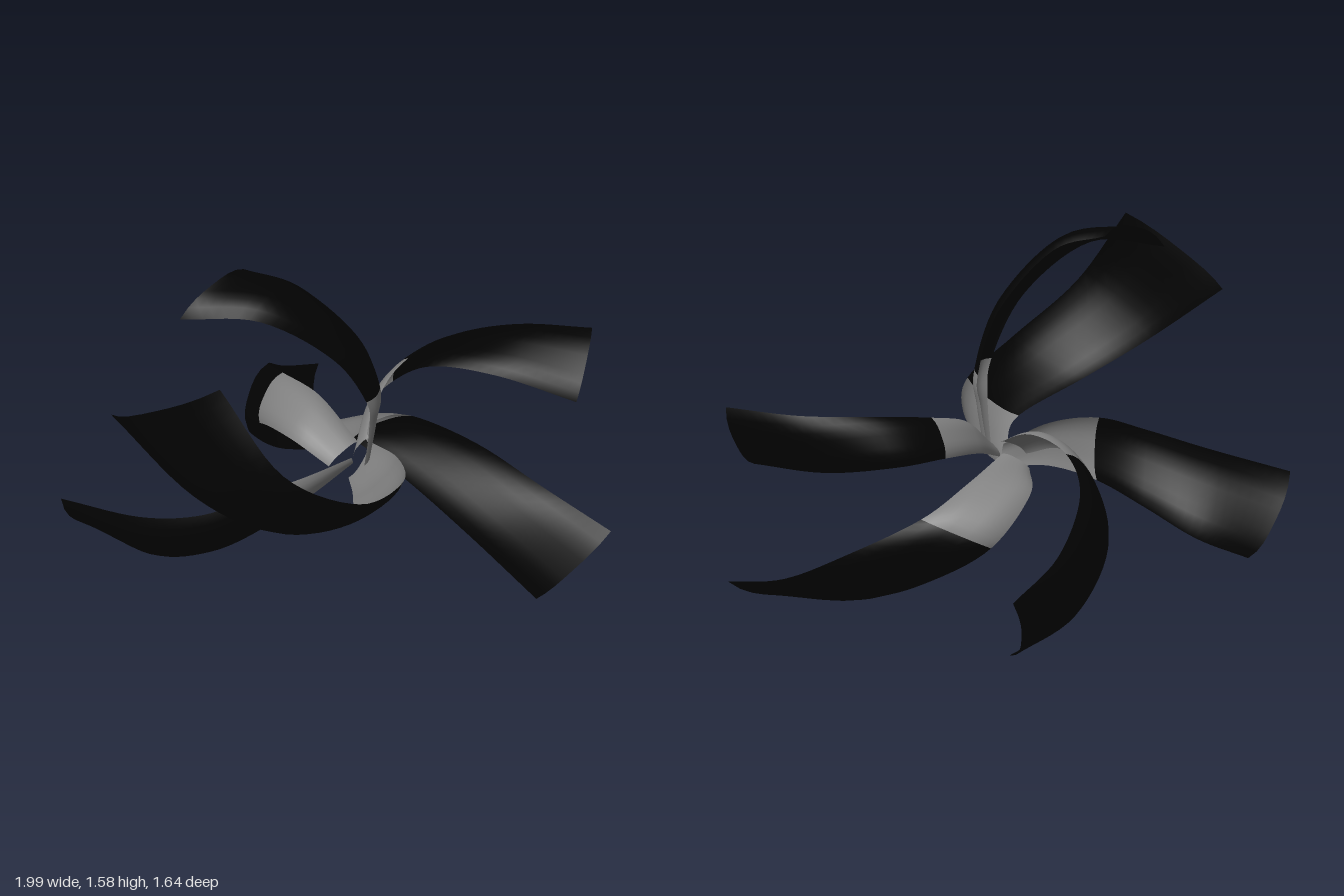
import * as THREE from 'three';
import { ParametricGeometry } from 'three/addons/geometries/ParametricGeometry.js';

const rootGrey = new THREE.MeshStandardMaterial({ color: 0x828282, side: THREE.DoubleSide });
rootGrey.name = 'rootGrey';
const bladeBlack = new THREE.MeshStandardMaterial({ color: 0x020202, side: THREE.DoubleSide });
bladeBlack.name = 'bladeBlack';

const SLICES = 8;
const ROWS_PER_SPAN = 7;

// Smooth curve through flat x, y, z triples
function edge(values) {
  const points = [];
  for (let i = 0; i < values.length; i += 3) points.push(new THREE.Vector3().fromArray(values, i));
  return new THREE.CatmullRomCurve3(points, false, 'catmullrom', 0.5);
}

// Ribbon stretched between two edges, bowed outwards across its width.
// The first two spans form the grey root, the rest the black blade.
function makeBlade(name, bow, first, second) {
  const a = edge(first);
  const b = edge(second);
  const rows = (a.points.length - 1) * ROWS_PER_SPAN;
  const surface = (u, v, target) => {
    const pa = a.getPoint(v);
    const across = b.getPoint(v).sub(pa);
    const along = a.getTangent(v).add(b.getTangent(v));
    const out = along.cross(across).normalize();
    const arch = 1 - Math.abs(2 * u - 1) ** 3;
    target.copy(pa).addScaledVector(across, u);
    target.addScaledVector(out, bow * across.length() * arch);
  };
  const geometry = new ParametricGeometry(surface, SLICES, rows);
  const rootCount = 2 * ROWS_PER_SPAN * SLICES * 6;
  geometry.addGroup(0, rootCount, 0);
  geometry.addGroup(rootCount, geometry.index.count - rootCount, 1);
  const mesh = new THREE.Mesh(geometry, [rootGrey, bladeBlack]);
  mesh.name = name;
  return mesh;
}

export function createModel() {
  const model = new THREE.Group();
  model.name = 'twistedBlades';
  model.add(
    makeBlade('frontRightBlade', 0.1,
      [0.07, 0.69, 0.05, -0.04, 0.78, 0.27, -0.24, 0.87, 0.44, -0.57, 1.0, 0.48, -0.83, 1.23, 0.34, -0.89, 1.545, 0.115],
      [-0.07, 0.59, 0.05, -0.2, 0.63, 0.17, -0.4, 0.7, 0.29, -0.73, 0.83, 0.2, -0.91, 1.01, -0.02, -0.955, 1.257, -0.365]),
    makeBlade('upperBlade', 0.18,
      [0.06, 0.7, 0.04, 0.085, 0.86, 0.05, 0.085, 0.985, 0.065, 0.005, 1.24, 0.025, -0.14, 1.48, -0.13, -0.25, 1.545, -0.31],
      [-0.03, 0.65, 0.1, -0.04, 0.86, 0.13, -0.08, 1.02, 0.145, -0.22, 1.28, 0.09, -0.42, 1.485, -0.09, -0.575, 1.475, -0.35]),
    makeBlade('leftBlade', 0.13,
      [0.06, 0.72, 0.06, 0.22, 0.83, 0.0, 0.42, 0.88, -0.01, 0.65, 0.91, 0.07, 0.86, 0.92, 0.25, 1.0, 0.935, 0.52],
      [0.0, 0.64, 0.02, 0.22, 0.71, -0.07, 0.42, 0.73, -0.085, 0.62, 0.72, -0.02, 0.77, 0.685, 0.22, 0.83, 0.67, 0.57]),
    makeBlade('frontLeftBlade', 0.1,
      [0.04, 0.67, -0.03, 0.3, 0.6, -0.08, 0.52, 0.5, -0.05, 0.69, 0.35, 0.18, 0.77, 0.2, 0.48, 0.785, 0.115, 0.82],
      [0.0, 0.62, -0.14, 0.14, 0.56, -0.27, 0.35, 0.39, -0.26, 0.43, 0.22, -0.01, 0.43, 0.08, 0.32, 0.335, 0.005, 0.735]),
    makeBlade('backRightBlade', 0.15,
      [-0.05, 0.68, 0.05, -0.3, 0.73, 0.02, -0.51, 0.73, -0.07, -0.67, 0.67, -0.2, -0.78, 0.61, -0.44, -0.85, 0.565, -0.81],
      [0.0, 0.6, 0.0, -0.24, 0.565, -0.03, -0.44, 0.48, -0.12, -0.56, 0.37, -0.28, -0.61, 0.27, -0.52, -0.56, 0.262, -0.82]),
    makeBlade('backBlade', 0.14,
      [0.03, 0.7, 0.02, 0.09, 0.79, -0.22, 0.15, 0.765, -0.465, 0.28, 0.66, -0.65, 0.49, 0.49, -0.73, 0.725, 0.37, -0.725],
      [-0.11, 0.64, -0.02, -0.11, 0.69, -0.22, -0.005, 0.59, -0.47, 0.12, 0.39, -0.64, 0.31, 0.18, -0.635, 0.54, 0.075, -0.535]),
  );
  return model;
}
